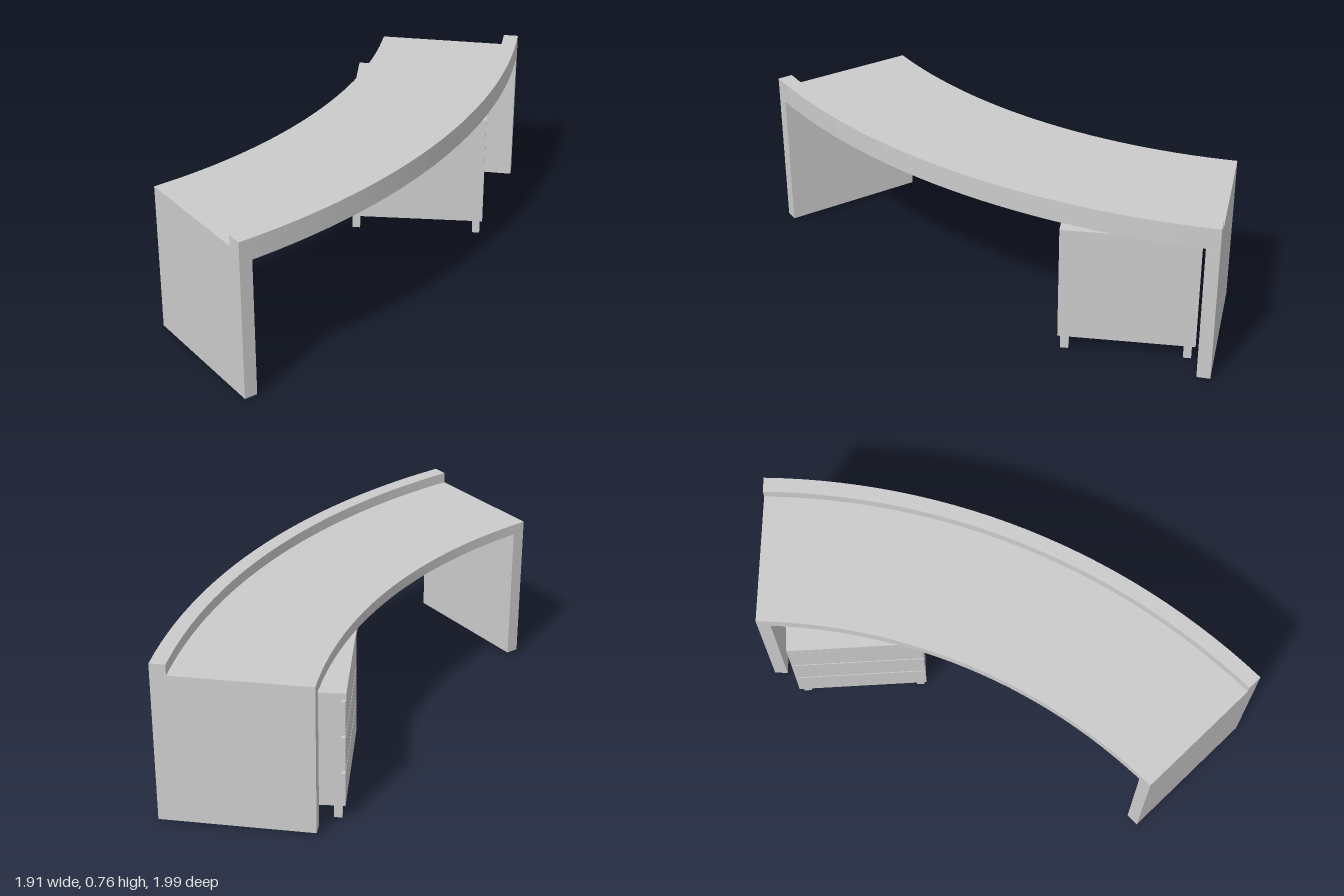
import * as THREE from 'three';
import { toCreasedNormals } from 'three/addons/utils/BufferGeometryUtils.js';

const grey = new THREE.MeshStandardMaterial({ color: 0xcccccc });

// Plan of the curved desk: concentric arcs about one centre
const CX = -1.972, CZ = -1.848;
const A0 = 0.354, A1 = 1.143;
const R_IN = 2.44, R_LEDGE = 3.047, R_OUT = 3.117;

function addMesh(parent, name, geometry, x = 0, y = 0, z = 0) {
  const mesh = new THREE.Mesh(geometry, grey);
  mesh.name = name;
  mesh.position.set(x, y, z);
  parent.add(mesh);
  return mesh;
}

// Box given by its lower and upper limits on each axis
function addBox(parent, name, [x0, x1], [y0, y1], [z0, z1]) {
  return addMesh(parent, name, new THREE.BoxGeometry(x1 - x0, y1 - y0, z1 - z0),
    (x0 + x1) / 2, (y0 + y1) / 2, (z0 + z1) / 2);
}

// Slab bounded by two arcs, between two heights
function arcSlab(rIn, rOut, bottom, top) {
  const shape = new THREE.Shape();
  shape.absarc(0, 0, rOut, A0, A1, false);
  shape.absarc(0, 0, rIn, A1, A0, true);
  const slab = new THREE.ExtrudeGeometry(shape, { depth: top - bottom, bevelEnabled: false, curveSegments: 14 });
  slab.rotateX(Math.PI / 2);
  slab.translate(CX, top, CZ);
  return toCreasedNormals(slab, 0.4);
}

export function createModel() {
  const desk = new THREE.Group();
  desk.name = 'curvedDesk';

  // Worktop and the raised ledge along its outer edge
  addMesh(desk, 'worktop', arcSlab(R_IN, R_LEDGE, 0.66, 0.71));
  addMesh(desk, 'raisedLedge', arcSlab(R_LEDGE, R_OUT, 0.66, 0.76));

  // Full-depth panel legs at both ends
  const thick = 0.06, mid = (R_IN + R_OUT) / 2;
  for (const [name, a, side] of [['leftEndPanel', A0, 1], ['rightEndPanel', A1, -1]]) {
    const shift = side * thick / 2;
    const panel = addMesh(desk, name, new THREE.BoxGeometry(R_OUT - R_IN, 0.65, thick),
      CX + mid * Math.cos(a) - shift * Math.sin(a), 0.335,
      CZ + mid * Math.sin(a) + shift * Math.cos(a));
    panel.rotation.y = -a;
  }

  // Drawer pedestal, turned under the worktop, drawers facing its local -x
  const pedestal = new THREE.Group();
  pedestal.name = 'drawerPedestal';
  pedestal.position.set(0.4025, 0, -0.5355);
  pedestal.rotation.y = -0.28;
  desk.add(pedestal);

  const w = 0.325, d = 0.3025, front = 0.02;
  addBox(pedestal, 'cabinetTop', [-w, w], [0.585, 0.615], [-d, d]);
  addBox(pedestal, 'cabinetBody', [-w + front, w], [0.07, 0.585], [-d, d]);
  for (let i = 0; i < 3; i++) {
    const y = 0.07 + i * 0.1717;
    addBox(pedestal, 'drawerFront', [-w + 0.003, -w + front], [y, y + 0.162], [-d, d]);
  }

  // Square feet
  for (const x of [-w + 0.036, w - 0.03])
    for (const z of [-d + 0.034, d - 0.03])
      addMesh(pedestal, 'foot', new THREE.BoxGeometry(0.036, 0.07, 0.036), x, 0.035, z);

  return desk;
}
